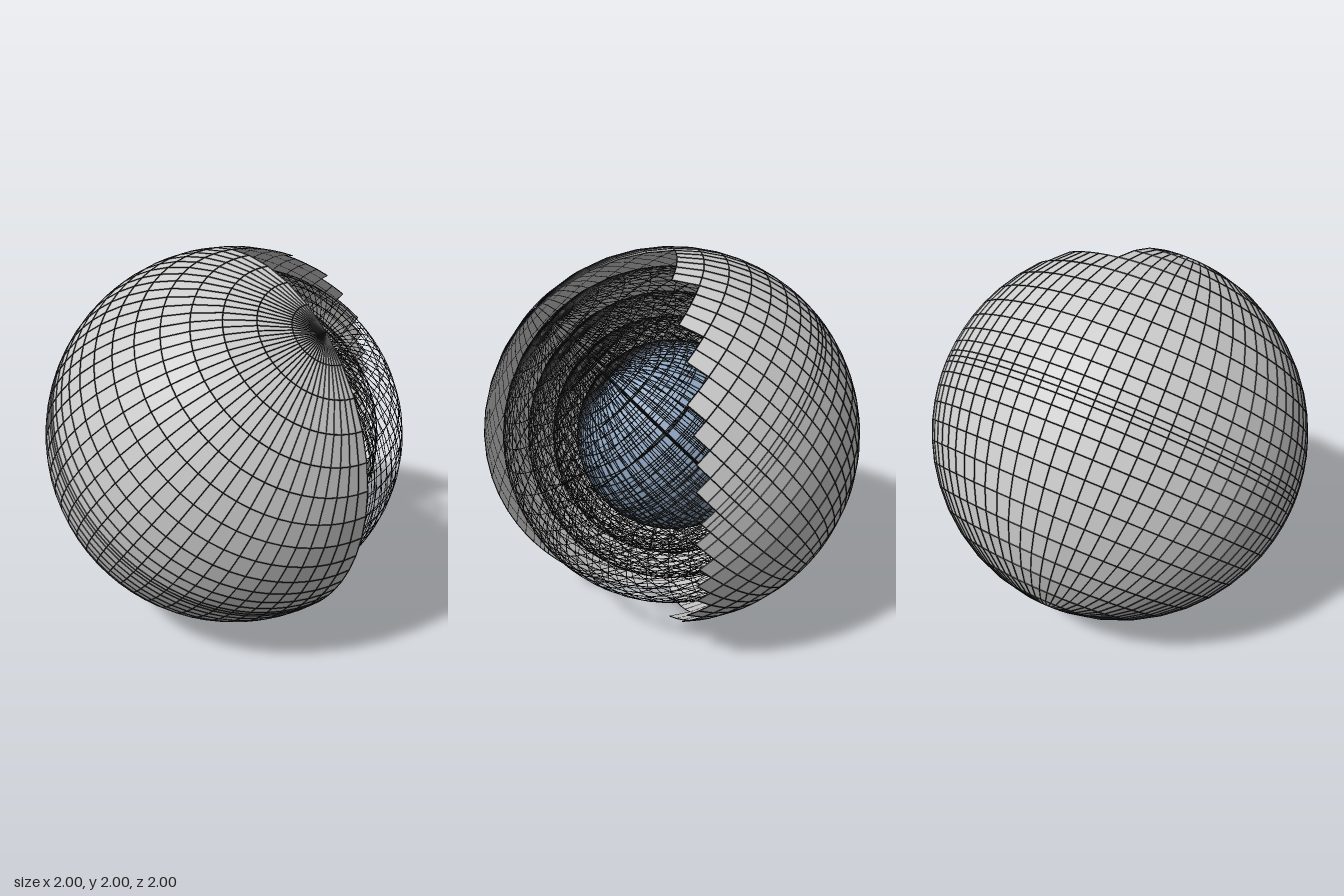
import * as THREE from 'three';

const COLS = 72;            // meridians
const HALF = 14;            // latitude rows per hemisphere
const ROWS = HALF * 2;
const TILT = 0.746;         // polar axis leans towards the front
const CENTRE = new THREE.Vector3(0, 1, 0);
const X_AXIS = new THREE.Vector3(1, 0, 0);

// Grid point on a sphere; rows crowd together towards the tilted equator
function gridPoint(radius, row, col) {
  const t = (row - HALF) / HALF;
  const lat = Math.sign(t) * Math.pow(Math.abs(t), 1.5) * Math.PI / 2;
  const lon = (col / COLS) * Math.PI * 2;
  return new THREE.Vector3(
    Math.cos(lat) * Math.sin(lon),
    Math.sin(lat),
    Math.cos(lat) * Math.cos(lon)
  ).multiplyScalar(radius).applyAxisAngle(X_AXIS, TILT).add(CENTRE);
}

// The front left quarter is left open, cell by cell
function cellKept(row, col) {
  if (row < 0 || row >= ROWS) return false;
  const c = gridPoint(1, row, col).add(gridPoint(1, row + 1, col))
    .add(gridPoint(1, row, col + 1)).add(gridPoint(1, row + 1, col + 1));
  return !(c.x > 0 && c.z > 0);
}

function toGeometry(positions) {
  const g = new THREE.BufferGeometry();
  g.setAttribute('position', new THREE.Float32BufferAttribute(positions, 3));
  g.computeVertexNormals();
  return g;
}

function pushTriangle(out, a, b, c) {
  for (const p of [a, b, c]) out.push(p.x, p.y, p.z);
}

// Faceted sphere made of grid cells
function panels(radius, keep) {
  const out = [];
  for (let r = 0; r < ROWS; r++) {
    for (let c = 0; c < COLS; c++) {
      if (!keep(r, c)) continue;
      const p00 = gridPoint(radius, r, c), p01 = gridPoint(radius, r, c + 1);
      const p10 = gridPoint(radius, r + 1, c), p11 = gridPoint(radius, r + 1, c + 1);
      if (r > 0) pushTriangle(out, p00, p01, p11);
      if (r < ROWS - 1) pushTriangle(out, p00, p11, p10);
    }
  }
  return toGeometry(out);
}

// Three-sided thin rod between two points
function pushRod(out, a, b, thickness) {
  const dir = b.clone().sub(a).normalize();
  const up = a.clone().sub(CENTRE);
  const side = dir.clone().cross(up).normalize();
  up.crossVectors(side, dir).normalize();
  const offsets = [0, 1, 2].map(i => {
    const t = i * Math.PI * 2 / 3;
    return up.clone().multiplyScalar(Math.cos(t) * thickness)
      .addScaledVector(side, Math.sin(t) * thickness);
  });
  for (let i = 0; i < 3; i++) {
    const o = offsets[i], n = offsets[(i + 1) % 3];
    const a0 = a.clone().add(o), a1 = a.clone().add(n);
    const b0 = b.clone().add(o), b1 = b.clone().add(n);
    pushTriangle(out, a0, b1, a1);
    pushTriangle(out, a0, b0, b1);
  }
}

// Wires along the meridians and rings of the grid
function wires(radius, thickness, keep) {
  const out = [];
  for (let r = 0; r < ROWS; r++) {
    for (let c = 0; c < COLS; c++) {
      const p = gridPoint(radius, r, c);
      if (keep(r, c) || keep(r, c - 1)) pushRod(out, p, gridPoint(radius, r + 1, c), thickness);
      if (r > 0 && (keep(r, c) || keep(r - 1, c))) {
        pushRod(out, p, gridPoint(radius, r, c + 1), thickness);
      }
    }
  }
  return toGeometry(out);
}

export function createModel() {
  const group = new THREE.Group();
  const all = () => true;
  const grey = new THREE.MeshStandardMaterial({
    color: 0xcccccc, flatShading: true, side: THREE.DoubleSide
  });
  const blue = new THREE.MeshStandardMaterial({ color: 0x8fa6c2, flatShading: true });
  const dark = new THREE.MeshStandardMaterial({
    color: 0x1c1c1c, flatShading: true, side: THREE.DoubleSide
  });

  const add = (name, geometry, material) => {
    const mesh = new THREE.Mesh(geometry, material);
    mesh.name = name;
    group.add(mesh);
  };

  // Outer shell with an open quarter, and its surface wires
  add('outerShell', panels(0.996, cellKept), grey);
  add('shellWires', wires(0.997, 0.003, cellKept), dark);

  // Solid core
  add('core', panels(0.51, all), blue);

  // Nested wire cages between core and shell
  [0.9, 0.77, 0.64, 0.512].forEach((radius, i) => {
    add('wireCage' + (i + 1), wires(radius, 0.0022, all), dark);
  });

  return group;
}
